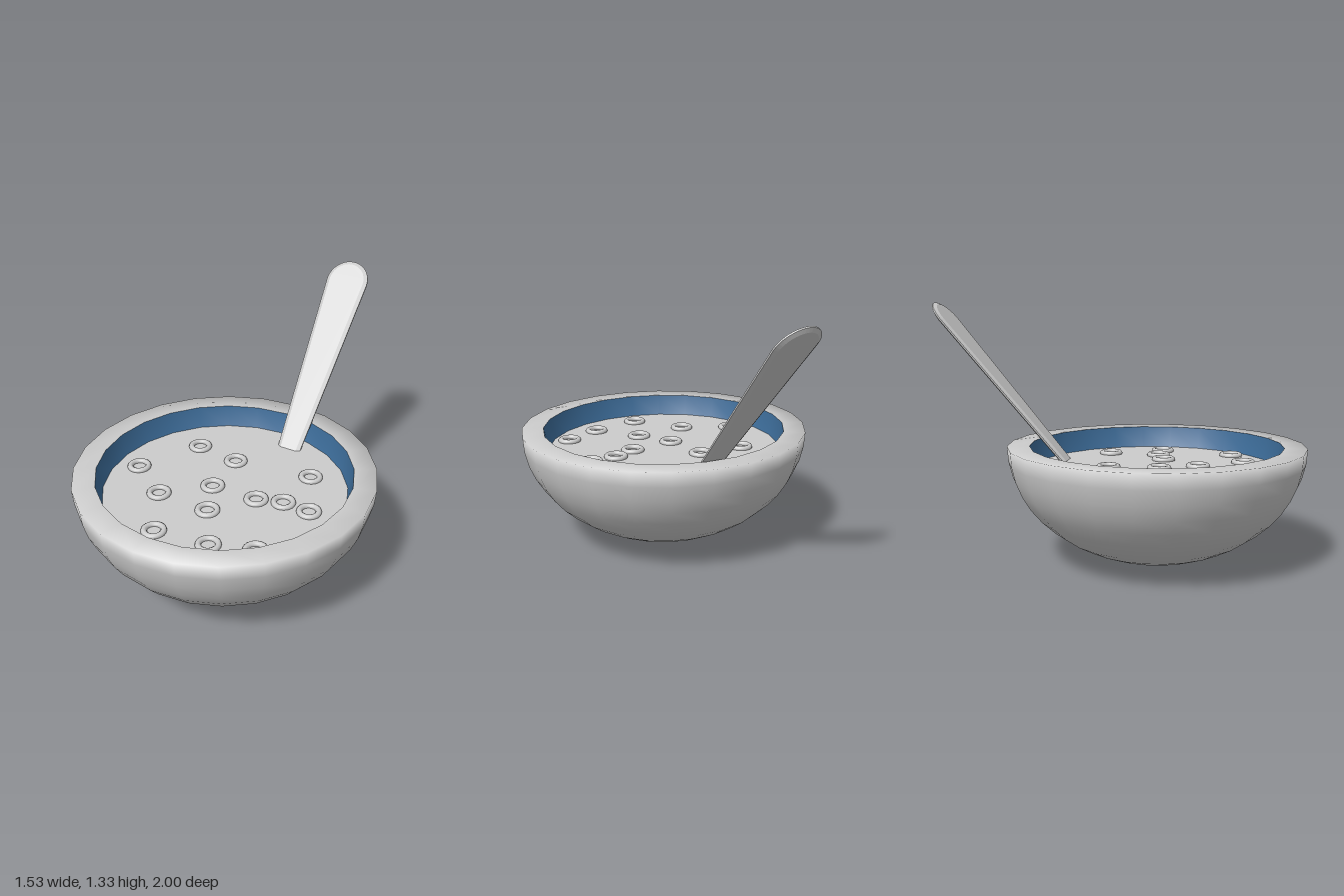
import * as THREE from 'three';

const BOWL_Z = 0.235, SIDES = 24, MILK_Y = 0.485;

export function createModel() {
  const model = new THREE.Group();
  const grey = new THREE.MeshStandardMaterial({ color: 0xcccccc });
  const blue = new THREE.MeshStandardMaterial({ color: 0x3b6a96 });

  const add = (name, geometry, material, x, y, z) => {
    const mesh = new THREE.Mesh(geometry, material);
    mesh.name = name;
    mesh.position.set(x, y, z);
    model.add(mesh);
    return mesh;
  };
  const lathe = (points) =>
    new THREE.LatheGeometry(points.map(([r, y]) => new THREE.Vector2(r, y)), SIDES);

  // Outer shell: half an ellipse with a flat rim turned inward
  const shell = [];
  for (let i = 0; i <= 12; i++) {
    const a = (i / 12) * Math.PI / 2;
    shell.push([0.765 * Math.sin(a), 0.6 * (1 - Math.cos(a))]);
  }
  shell.push([0.65, 0.6]);
  add('bowl', lathe(shell), grey, 0, 0, BOWL_Z);

  // Blue inner wall, running down below the milk
  const liner = [[0.65, 0.6], [0.625, MILK_Y], [0.54, 0.32], [0.34, 0.15], [0, 0.08]];
  add('bowlLining', lathe(liner), blue, 0, 0, BOWL_Z);

  // Milk surface
  const milk = new THREE.CircleGeometry(0.627, SIDES).rotateX(-Math.PI / 2);
  add('milk', milk, grey, 0, MILK_Y, BOWL_Z);

  // Cereal rings floating half sunk
  const ring = new THREE.TorusGeometry(0.048, 0.015, 10, 24).rotateX(Math.PI / 2);
  const spots = [
    [-0.325, -0.03], [-0.08, 0], [0.335, -0.065], [-0.06, 0.26], [0.19, 0.25],
    [0.32, 0.205], [0.465, 0.21], [-0.495, 0.3], [-0.26, 0.45], [0.03, 0.45],
    [0.39, 0.6], [0.18, 0.675], [-0.1, 0.715],
  ];
  spots.forEach(([x, z], i) => add(`cerealRing${i + 1}`, ring, grey, x, MILK_Y + 0.005, z));

  // Spoon handle: tapered, round-ended blade with bevelled edges
  const bevel = 0.02, length = 1.12;
  const low = 0.066 - bevel, wide = 0.12 - bevel, shoulder = length - 0.12;
  const outline = new THREE.Shape();
  outline.moveTo(-low, 0);
  outline.lineTo(low, 0);
  outline.lineTo(wide, shoulder);
  outline.absellipse(0, shoulder, wide, 0.12 - bevel, 0, Math.PI, false);
  outline.lineTo(-low, 0);
  const blade = new THREE.ExtrudeGeometry(outline, {
    depth: 0.008, bevelEnabled: true, bevelThickness: 0.01, bevelSize: bevel,
    bevelSegments: 1, curveSegments: 10,
  }).translate(0, 0, -0.004);
  const handle = add('spoonHandle', blade, grey, 0.1, 0.475, -0.265);
  handle.rotation.x = -0.71;

  return model;
}
